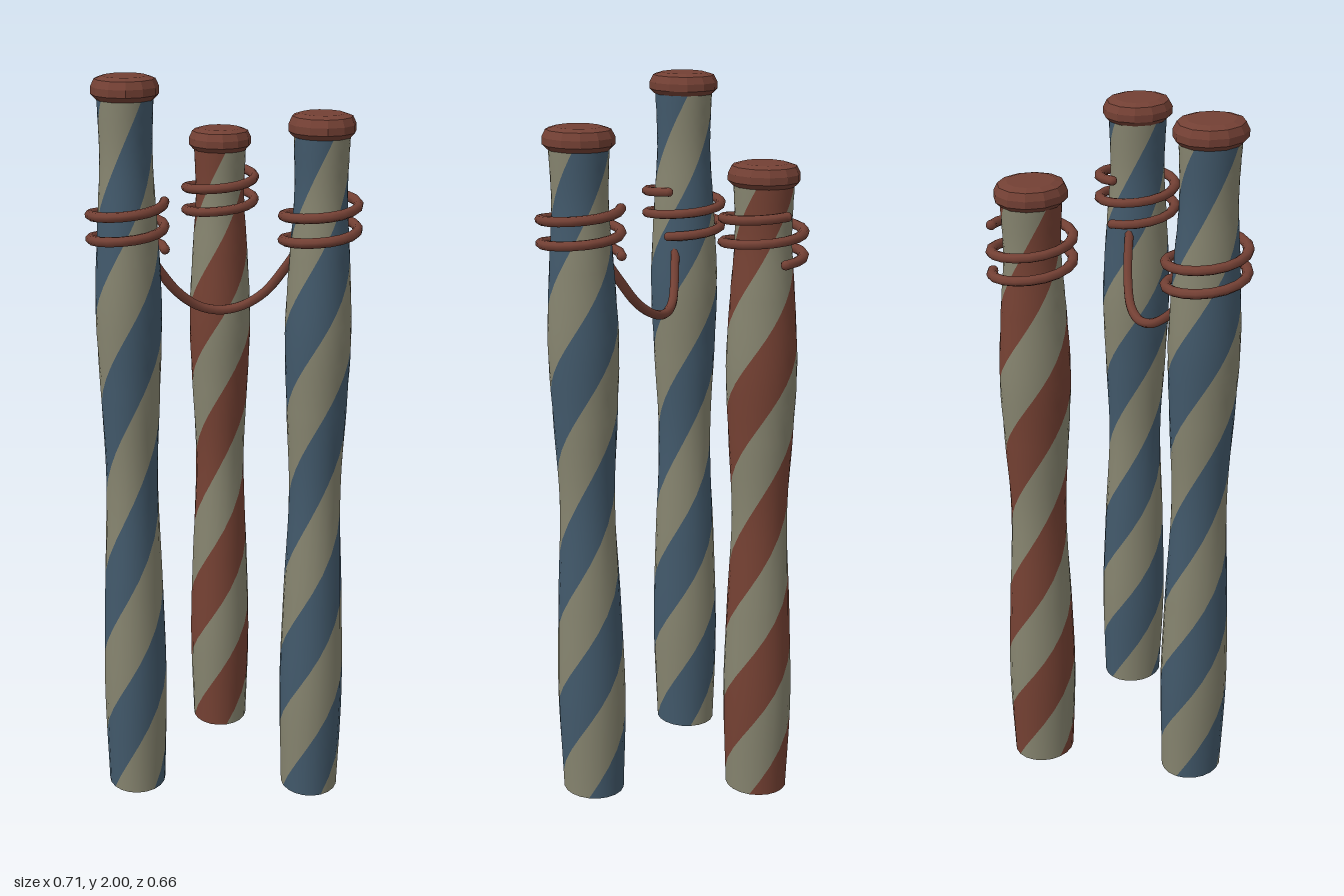
import * as THREE from 'three';
import { ParametricGeometry } from 'three/addons/geometries/ParametricGeometry.js';

const mat = (name, color, extra = {}) => {
  const m = new THREE.MeshStandardMaterial({ color, ...extra });
  m.name = name;
  return m;
};

// radius of a post along its height (fraction 0..1)
const profile = new THREE.CatmullRomCurve3(
  [[0.08, 0], [0.088, 0.16], [0.081, 0.31], [0.07, 0.48], [0.08, 0.61], [0.087, 0.72], [0.078, 0.83], [0.068, 0.92], [0.072, 1]]
    .map(([r, t]) => new THREE.Vector3(r, t, 0)));

// one helical band covering a quarter of the post's girth, twisting two turns
function bandGeometry(height, startAngle) {
  const p = new THREE.Vector3();
  return new ParametricGeometry((u, v, target) => {
    profile.getPoint(v, p);
    const a = startAngle + u * Math.PI / 2 + p.y * Math.PI * 4;
    target.set(p.x * Math.sin(a), p.y * height, p.x * Math.cos(a));
  }, 5, 48);
}

// rope wound twice around a post, ending at the given angle
class Coil extends THREE.Curve {
  constructor(endAngle) {
    super();
    this.endAngle = endAngle;
  }
  getPoint(t, target = new THREE.Vector3()) {
    const a = this.endAngle - (1 - t) * Math.PI * 4;
    return target.set(0.096 * Math.sin(a), 1.666 + 0.0625 * a / (Math.PI * 2), 0.096 * Math.cos(a));
  }
}

export function createModel() {
  const model = new THREE.Group();
  model.name = 'stripedMooringPosts';
  const cream = mat('cream paint', 0x86846f);
  const blue = mat('blue paint', 0x42596b);
  const red = mat('red paint', 0x754133);
  const capRed = mat('cap red', 0x734034, { flatShading: true });
  const ropeRed = mat('rope red', 0x734034);

  const add = (parent, name, geometry, material) => {
    const mesh = new THREE.Mesh(geometry, material);
    mesh.name = name;
    parent.add(mesh);
    return mesh;
  };

  // closed rope tube with rounded-off ends
  const addRope = (parent, name, curve, segments) => {
    add(parent, name, new THREE.TubeGeometry(curve, segments, 0.013, 8), ropeRed);
    for (const t of [0, 1]) {
      add(parent, name + 'End', new THREE.SphereGeometry(0.013, 8, 6), ropeRed).position.copy(curve.getPoint(t));
    }
  };

  const rad = THREE.MathUtils.degToRad;
  const posts = [
    { name: 'rightPost', x: -0.247, z: 0.155, h: 1.95, paint: blue, phase: 80, coilEnd: 90 },
    { name: 'leftPost', x: 0.245, z: 0.21, h: 1.86, paint: blue, phase: -28, coilEnd: 205 },
    { name: 'backPost', x: 0.021, z: -0.208, h: 1.765, paint: red, phase: -35, coilEnd: 145 },
  ];

  for (const { name, x, z, h, paint, phase, coilEnd } of posts) {
    const post = new THREE.Group();
    post.name = name;
    post.position.set(x, 0, z);
    post.scale.z = 1.12;

    // alternating painted and cream bands, carried on across the underside
    for (let i = 0; i < 4; i++) {
      const start = rad(phase - 45 + i * 90);
      const [label, material] = i % 2 === 0 ? ['painted', paint] : ['cream', cream];
      add(post, label + 'Stripe', bandGeometry(h, start), material);
      add(post, label + 'Bottom',
        new THREE.CircleGeometry(0.08, 5, -start, Math.PI / 2).rotateX(Math.PI / 2), material);
    }

    // bevelled cap
    const capProfile = [[0, -0.008], [0.074, -0.008], [0.086, 0.005], [0.086, 0.024], [0.077, 0.043], [0.056, 0.05], [0, 0.05]]
      .map(([r, y]) => new THREE.Vector2(r, y));
    add(post, 'cap', new THREE.LatheGeometry(capProfile, 12), capRed).position.y = h;

    addRope(post, 'ropeCoil', new Coil(rad(coilEnd)), 36);
    model.add(post);
  }

  // rope sagging between the two front posts
  const sag = new THREE.CatmullRomCurve3([
    [-0.2, 1.555, 0.155], [-0.16, 1.49, 0.14], [-0.115, 1.432, 0.12], [-0.06, 1.39, 0.1], [0, 1.376, 0.092],
    [0.06, 1.39, 0.098], [0.115, 1.43, 0.117], [0.165, 1.5, 0.142], [0.2, 1.56, 0.165],
  ].map((p) => new THREE.Vector3(...p)));
  addRope(model, 'hangingRope', sag, 32);

  return model;
}
